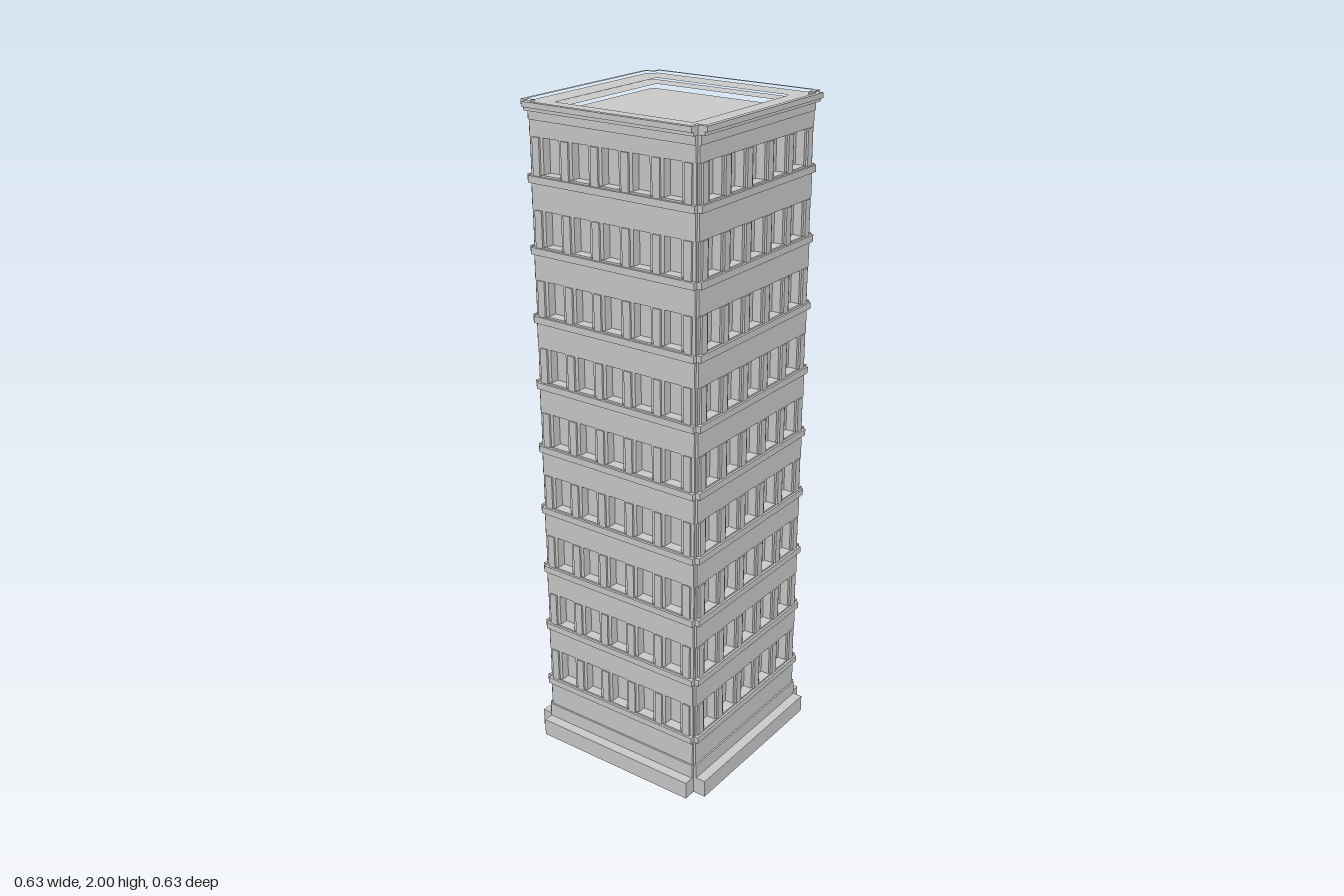
import * as THREE from 'three';

const material = new THREE.MeshStandardMaterial({ color: 0xcccccc, flatShading: true });

// Square outline with notched corners: reach r, face half-width w
function notched(Type, r, w) {
  const p = [[w, r], [w, w], [r, w], [r, -w], [w, -w], [w, -r],
    [-w, -r], [-w, -w], [-r, -w], [-r, w], [-w, w], [-w, r]];
  return new Type(p.map(([x, y]) => new THREE.Vector2(x, y)));
}

// Horizontal layer between two heights, with an optional hole
function layer(name, y0, y1, r, w, hole) {
  const shape = notched(THREE.Shape, r, w);
  if (hole) shape.holes.push(hole);
  const geo = new THREE.ExtrudeGeometry(shape, { depth: y1 - y0, bevelEnabled: false });
  geo.rotateX(-Math.PI / 2).translate(0, y0, 0);
  const mesh = new THREE.Mesh(geo, material);
  mesh.name = name;
  return mesh;
}

function box(name, w, h, d, x, y, z) {
  const mesh = new THREE.Mesh(new THREE.BoxGeometry(w, h, d), material);
  mesh.name = name;
  mesh.position.set(x, y, z);
  return mesh;
}

function squareHole(s) {
  return new THREE.Path([[-s, -s], [-s, s], [s, s], [s, -s]].map(([x, y]) => new THREE.Vector2(x, y)));
}

// Piers and sills of one storey on one side
function windowRow(y) {
  const row = new THREE.Group();
  row.name = 'windowRow';
  for (let i = 0; i < 6; i++) {
    const x = -0.25 + i * 0.1;
    row.add(box('pier', 0.045, 0.105, 0.03, x, y + 0.0525, 0.262));
    row.add(box('pilaster', 0.024, 0.105, 0.02, x, y + 0.0525, 0.273));
  }
  for (let i = 0; i < 5; i++) {
    row.add(box('sill', 0.065, 0.005, 0.034, -0.2 + i * 0.1, y + 0.0025, 0.265));
  }
  return row;
}

export function createModel() {
  const tower = new THREE.Group();
  tower.name = 'tower';

  // Foot of the tower
  tower.add(layer('plinth', 0, 0.055, 0.315, 0.275));
  tower.add(layer('groundStorey', 0.055, 0.18, 0.279, 0.272));
  tower.add(layer('groundBand', 0.055, 0.1, 0.284, 0.275));

  // Recessed wall behind the windows
  tower.add(box('core', 0.5, 1.77, 0.5, 0, 1.065, 0));

  // Nine equal storeys
  for (let i = 0; i < 9; i++) {
    const y = 0.18 + i * 0.2;
    const storey = new THREE.Group();
    storey.name = 'storey';
    storey.add(layer('ledge', y, y + 0.02, 0.289, 0.275));
    const top = i === 8 ? 1.95 : y + 0.2;
    storey.add(layer('spandrel', y + 0.125, top, 0.279, 0.272));
    for (let side = 0; side < 4; side++) {
      const row = windowRow(y + 0.02);
      row.rotation.y = side * Math.PI / 2;
      storey.add(row);
    }
    tower.add(storey);
  }

  // Parapet around the sunken roof
  tower.add(layer('parapet', 1.95, 1.975, 0.283, 0.272, squareHole(0.225)));
  tower.add(layer('cornice', 1.975, 1.992, 0.295, 0.275, squareHole(0.225)));
  tower.add(layer('corniceRim', 1.985, 2, 0.303, 0.275, notched(THREE.Path, 0.29, 0.263)));
  return tower;
}
